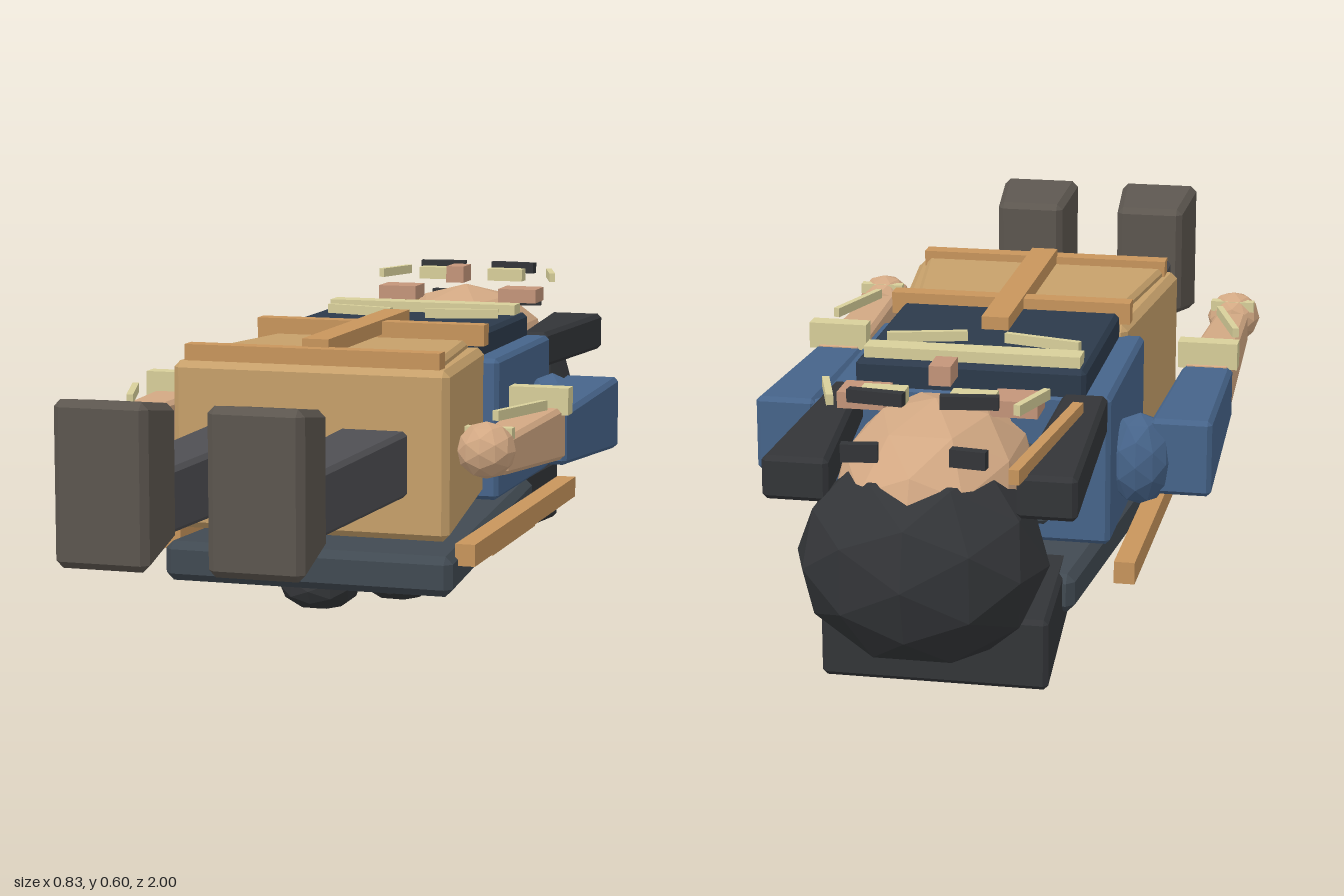
import * as THREE from 'three';
import { ConvexGeometry } from 'three/addons/geometries/ConvexGeometry.js';

const C = {
  skin: 0xd2a883, blush: 0xc4957a, blue: 0x46648a, navy: 0x2c3a4b, tan: 0xc6a06a, trim: 0xc8955c,
  cream: 0xd8cf9a, leg: 0x4f4f53, shoe: 0x5c564f, hair: 0x333538, cape: 0x414a52,
};
const mats = {};
const mat = (k) => (mats[k] ??= new THREE.MeshStandardMaterial({ color: C[k], flatShading: true }));

export function createModel() {
  const root = new THREE.Group();

  const add = (name, geometry, color) => {
    const m = new THREE.Mesh(geometry, mat(color));
    m.name = name;
    root.add(m);
    return m;
  };

  // Chamfered block between two rectangles [x0, x1, y0, y1] at z0 and z1
  const block = (name, color, z0, a, z1, b = a, c = 0.008) => {
    const pts = [];
    for (const [z, r, s] of [[z0, a, 1], [z1, b, -1]]) {
      for (const i of [0, 1]) for (const j of [0, 1]) {
        const x = r[i], y = r[2 + j];
        const dx = i ? -c : c, dy = j ? -c : c, dz = s * c;
        pts.push(new THREE.Vector3(x, y + dy, z + dz),
          new THREE.Vector3(x + dx, y, z + dz),
          new THREE.Vector3(x + dx, y + dy, z));
      }
    }
    return add(name, new ConvexGeometry(pts), color);
  };

  // Plain box by centre and size, turned about y
  const box = (name, color, p, s, turn = 0) => {
    const m = add(name, new THREE.BoxGeometry(...s), color);
    m.position.set(...p);
    m.rotation.y = turn;
    return m;
  };

  // Faceted ball by centre and radii
  const ball = (name, color, p, r, detail = 1) => {
    const m = add(name, new THREE.IcosahedronGeometry(1, detail), color);
    m.position.set(...p);
    m.scale.set(...r);
    return m;
  };

  // Thin bar from (x0, z0) to (x1, z1) at height y
  const bar = (name, color, x0, z0, x1, z1, y, w, h) =>
    box(name, color, [(x0 + x1) / 2, y, (z0 + z1) / 2],
      [w, h, Math.hypot(x1 - x0, z1 - z0)], Math.atan2(x1 - x0, z1 - z0));

  // Rectangle mirrored to the chosen side
  const side = (s, [x0, x1, y0, y1]) => (s > 0 ? [x0, x1, y0, y1] : [-x1, -x0, y0, y1]);

  // Torso and tunic
  block('torso', 'blue', -0.445, [-0.25, 0.25, 0.22, 0.49], -0.04);
  block('chestPanel', 'navy', -0.44, [-0.205, 0.205, 0.46, 0.535], -0.05);
  block('skirt', 'tan', -0.06, [-0.22, 0.22, 0.23, 0.51], 0.34, [-0.26, 0.26, 0.208, 0.515], 0.012);
  block('apron', 'tan', -0.05, [-0.19, 0.19, 0.48, 0.525], 0.3, [-0.235, 0.235, 0.48, 0.53]);
  box('belt', 'trim', [0, 0.535, -0.045], [0.45, 0.04, 0.035]);
  box('hemTrim', 'trim', [0, 0.527, 0.31], [0.48, 0.035, 0.035]);
  box('centreTrim', 'trim', [0, 0.545, 0.045], [0.05, 0.028, 0.51]);
  box('collarBand', 'cream', [0, 0.545, -0.402], [0.385, 0.02, 0.045]);

  // Cape with hanging hair and tufts beneath
  block('cape', 'cape', -0.52, [-0.2, 0.2, 0.115, 0.185], 0.36, [-0.272, 0.272, 0.112, 0.185], 0.014);
  block('backHair', 'hair', -0.75, [-0.195, 0.195, 0.065, 0.19], -0.08, [-0.15, 0.15, 0.09, 0.18]);
  [[-0.05, 0.072, 0.12], [0.05, 0.06, -0.06], [-0.03, 0.052, -0.25]].forEach((p) =>
    ball('hairTuft', 'hair', p, [0.077, 0.047, 0.077]));
  bar('backStrand', 'trim', 0.17, -0.62, 0.17, -0.28, 0.072, 0.016, 0.014);

  // Head, neck and hair cap
  block('neck', 'skin', -0.56, [-0.075, 0.075, 0.31, 0.45], -0.42);
  block('collar', 'cape', -0.5, [-0.15, 0.15, 0.27, 0.4], -0.43);
  ball('head', 'skin', [0, 0.405, -0.715], [0.17, 0.155, 0.24]);
  ball('hairCap', 'hair', [0, 0.32, -0.825], [0.212, 0.182, 0.175]);
  box('nose', 'blush', [0, 0.588, -0.655], [0.037, 0.034, 0.06]);
  block('sideLock', 'hair', -0.88, [-0.265, -0.165, 0.415, 0.49], -0.44, [-0.245, -0.165, 0.425, 0.495]);
  block('sideLock', 'hair', -0.86, [0.15, 0.262, 0.415, 0.49], -0.44, [0.19, 0.245, 0.425, 0.495]);
  bar('lockStrand', 'trim', -0.17, -0.92, -0.21, -0.545, 0.5, 0.018, 0.025);

  for (const s of [1, -1]) {
    // Face
    bar('eyebrow', 'hair', s * 0.03, -0.822, s * 0.125, -0.81, 0.588, 0.018, 0.022);
    box('eye', 'cream', [s * 0.075, 0.577, -0.765], [0.075, 0.025, 0.033]);
    box('cheek', 'blush', [s * 0.13, 0.545, -0.675], [0.08, 0.028, 0.07]);
    bar('templeStrand', 'cream', s * 0.155, -0.815, s * 0.187, -0.715, 0.578, 0.012, 0.018);
    bar('foreheadStrand', 'hair', s * 0.06, -0.88, s * 0.12, -0.888, 0.515, 0.018, 0.03);

    // Chest chevron
    bar('chevron', 'cream', s * 0.035, -0.285, s * 0.175, -0.32, 0.543, 0.012, 0.02);

    // Cape edging
    box('capeEdge', 'trim', [s * 0.281, 0.18, -0.085], [0.037, 0.04, 0.77]);

    // Arm
    ball('shoulder', 'blue', [s * 0.285, 0.345, -0.325], [0.06, 0.085, 0.06], 1);
    block('upperArm', 'blue', -0.345, side(s, [0.305, 0.415, 0.285, 0.425]), 0.055,
      side(s, [0.31, 0.405, 0.31, 0.41]));
    box('cuff', 'cream', [s * 0.358, 0.432, 0.06], [0.112, 0.05, 0.036]);
    block('forearm', 'skin', 0.04, side(s, [0.312, 0.402, 0.32, 0.42]), 0.43,
      side(s, [0.328, 0.392, 0.35, 0.415]));
    bar('sleeveStrand', 'cream', s * 0.395, 0.18, s * 0.345, 0.335, 0.44, 0.012, 0.018);
    box('wristBand', 'cream', [s * 0.36, 0.425, 0.43], [0.085, 0.02, 0.02]);
    ball('hand', 'skin', [s * 0.36, 0.397, 0.45], [0.052, 0.05, 0.052]);

    // Leg and shoe
    block('leg', 'leg', 0.3, side(s, [0.055, 0.185, 0.285, 0.405]), 0.85,
      side(s, [0.068, 0.178, 0.295, 0.405]));
    block('shoe', 'shoe', 0.838, side(s, [0.06, 0.2, 0.285, 0.515]), 1,
      side(s, [0.05, 0.212, 0.26, 0.535]), 0.012);
  }
  return root;
}
